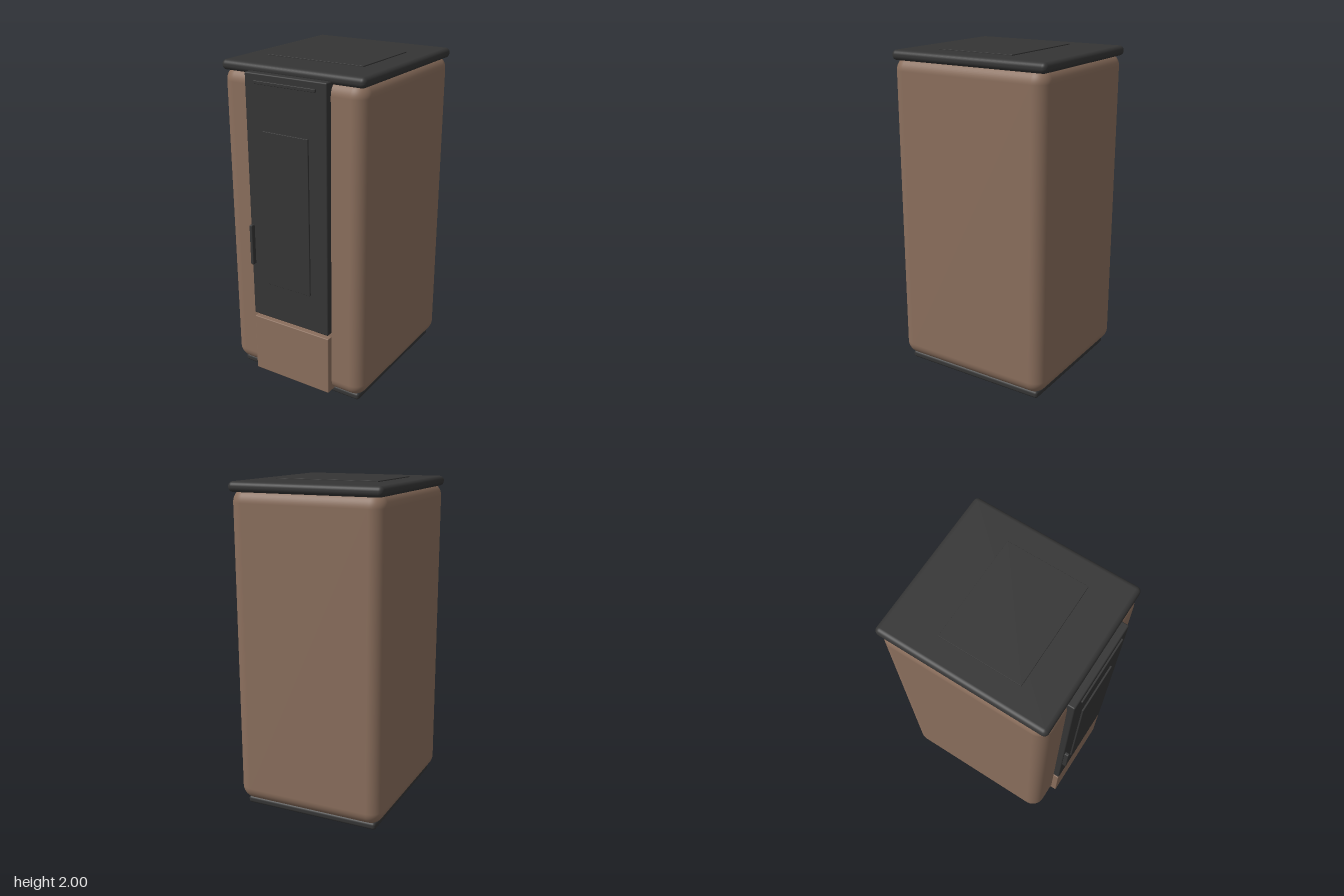
import * as THREE from 'three';
import { RoundedBoxGeometry } from 'three/addons/geometries/RoundedBoxGeometry.js';

const brown = new THREE.MeshStandardMaterial({ color: 0x8b6f5d });
brown.name = 'brown enamel';
const black = new THREE.MeshStandardMaterial({ color: 0x353535 });
black.name = 'black iron';

// Rounded block given by its [min, max] extents on each axis
function block(name, material, [x0, x1], [y0, y1], [z0, z1], radius, segments = 3) {
  const geometry = new RoundedBoxGeometry(x1 - x0, y1 - y0, z1 - z0, segments, radius);
  const mesh = new THREE.Mesh(geometry, material);
  mesh.position.set((x0 + x1) / 2, (y0 + y1) / 2, (z0 + z1) / 2);
  mesh.name = name;
  return mesh;
}

export function createModel() {
  const stove = new THREE.Group();
  stove.name = 'stove';

  // Casing between plinth and lid
  stove.add(
    block('plinth', black, [-0.432, 0.432], [0, 0.046], [-0.505, 0.44], 0.018, 4),
    block('body', brown, [-0.474, 0.474], [0.036, 1.96], [-0.55, 0.485], 0.085, 8),
    block('lid', black, [-0.474, 0.474], [1.934, 1.994], [-0.555, 0.483], 0.028, 6),
    block('topPlate', black, [-0.324, 0.324], [1.985, 2], [-0.255, 0.244], 0.002, 1)
  );

  // Door with window, vent strip and handle
  const door = new THREE.Group();
  door.name = 'door';
  door.add(
    block('doorPanel', black, [-0.272, 0.27], [0.445, 1.953], [0.45, 0.524], 0.008),
    block('window', black, [-0.154, 0.152], [0.682, 1.633], [0.515, 0.534], 0.002, 1),
    block('ventStrip', black, [-0.205, 0.203], [1.895, 1.914], [0.515, 0.534], 0.003, 2),
    block('handle', black, [-0.265, -0.244], [0.79, 1.046], [0.515, 0.551], 0.006)
  );
  stove.add(door);

  // Ash drawer below the door
  stove.add(block('drawer', brown, [-0.272, 0.27], [0.045, 0.422], [0.45, 0.522], 0.005));

  return stove;
}
